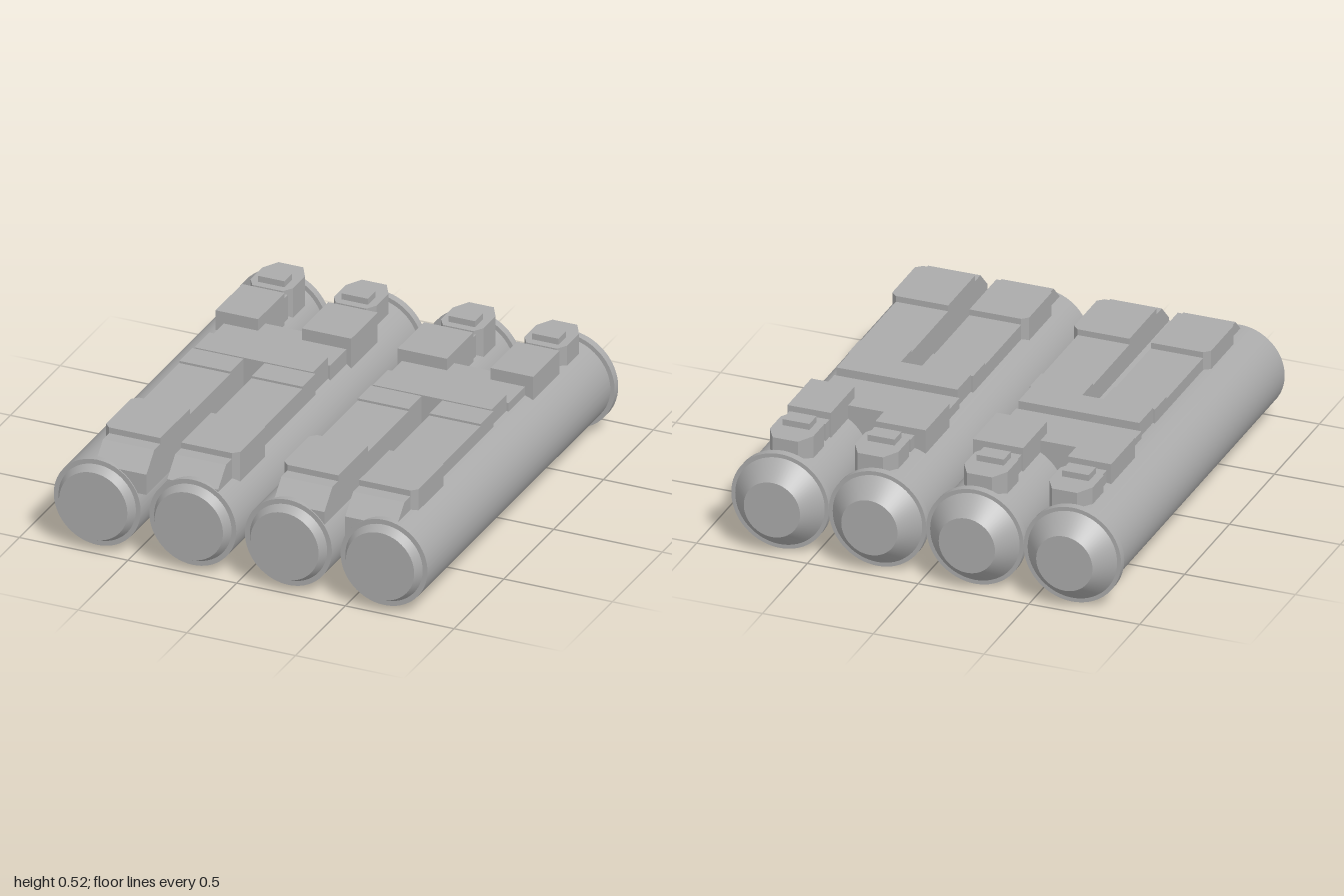
import * as THREE from 'three';
import { toCreasedNormals } from 'three/addons/utils/BufferGeometryUtils.js';

export function createModel() {
  const model = new THREE.Group();
  model.name = 'tubeRack';
  const grey = new THREE.MeshStandardMaterial({ name: 'grey', color: 0xaaaaaa });

  const add = (parent, name, geometry) => {
    const mesh = new THREE.Mesh(geometry, grey);
    mesh.name = name;
    parent.add(mesh);
    return mesh;
  };

  // Four tubes: back cone, flange, barrel and stepped front cap in one profile
  const profile = [
    [0, -1], [0.127, -1], [0.202, -0.91], [0.22, -0.91], [0.22, -0.875],
    [0.2, -0.875], [0.2, 0.96], [0.178, 0.96], [0.157, 1], [0, 1],
  ].map(([r, z]) => new THREE.Vector2(r, z));
  const tubeGeometry = toCreasedNormals(new THREE.LatheGeometry(profile, 64), 0.5);
  tubeGeometry.rotateX(Math.PI / 2);
  for (const x of [-0.66, -0.22, 0.22, 0.66]) {
    add(model, 'tube', tubeGeometry).position.set(x, 0.22, 0);
  }

  const shapeOf = (points) => new THREE.Shape(points.map(([a, b]) => new THREE.Vector2(a, b)));

  // One bracket joins two tubes; mapX places or mirrors it
  function addBracket(name, mapX) {
    const bracket = new THREE.Group();
    bracket.name = name;
    model.add(bracket);

    // Plan outline [x, z] raised from y0 to y1
    const plate = (part, points, y0, y1) => {
      const geometry = new THREE.ExtrudeGeometry(
        shapeOf(points.map(([x, z]) => [mapX(x), -z])),
        { depth: y1 - y0, bevelEnabled: false });
      geometry.rotateX(-Math.PI / 2).translate(0, y0, 0);
      add(bracket, part, geometry);
    };
    const block = (part, x0, x1, y0, y1, z0, z1) =>
      plate(part, [[x0, z0], [x1, z0], [x1, z1], [x0, z1]], y0, y1);

    // Side outline [z, y] stretched across x
    const rail = (part, x0, x1, points) => {
      const geometry = new THREE.ExtrudeGeometry(shapeOf(points),
        { depth: x1 - x0, bevelEnabled: false });
      geometry.rotateY(-Math.PI / 2).translate(Math.max(mapX(x0), mapX(x1)), 0, 0);
      add(bracket, part, geometry);
    };

    // Cross bridge, low at the back and raised in front
    block('bridgeBack', -0.672, -0.106, 0.3, 0.453, -0.408, -0.17);
    block('bridgeFront', -0.662, -0.116, 0.3, 0.49, -0.17, -0.02);

    // Rails with a raised root and sloping nose
    const railSide = [
      [-0.02, 0.3], [0.955, 0.3], [0.955, 0.395], [0.875, 0.475],
      [0.11, 0.475], [0.11, 0.485], [-0.02, 0.485],
    ];
    rail('leftRail', -0.672, -0.436, railSide);
    rail('rightRail', -0.34, -0.106, railSide);

    // Front pads with clipped outer corners
    const pad = (inner, shoulder, outer) => plate('frontPad', [
      [inner, 0.515], [shoulder, 0.515], [outer, 0.54],
      [outer, 0.79], [shoulder, 0.815], [inner, 0.815],
    ], 0.32, 0.502);
    pad(-0.436, -0.672, -0.698);
    pad(-0.34, -0.106, -0.08);

    // Back blocks
    block('backBlock', -0.709, -0.513, 0.33, 0.507, -0.6, -0.335);
    block('backBlock', -0.312, -0.085, 0.33, 0.507, -0.6, -0.335);

    // Latches: neck, clipped head and button, centred on x
    for (const x of [-0.609, -0.225]) {
      block('latchNeck', x - 0.08, x + 0.09, 0.33, 0.475, -0.645, -0.595);
      plate('latchHead', [
        [x - 0.057, -0.872], [x + 0.057, -0.872], [x + 0.098, -0.8], [x + 0.098, -0.68],
        [x + 0.07, -0.637], [x - 0.07, -0.637], [x - 0.098, -0.68], [x - 0.098, -0.8],
      ], 0.33, 0.492);
      block('latchButton', x - 0.061, x + 0.061, 0.48, 0.52, -0.752, -0.673);
    }
  }
  addBracket('rightBracket', (x) => x);
  addBracket('leftBracket', (x) => 0.043 - x);

  return model;
}
